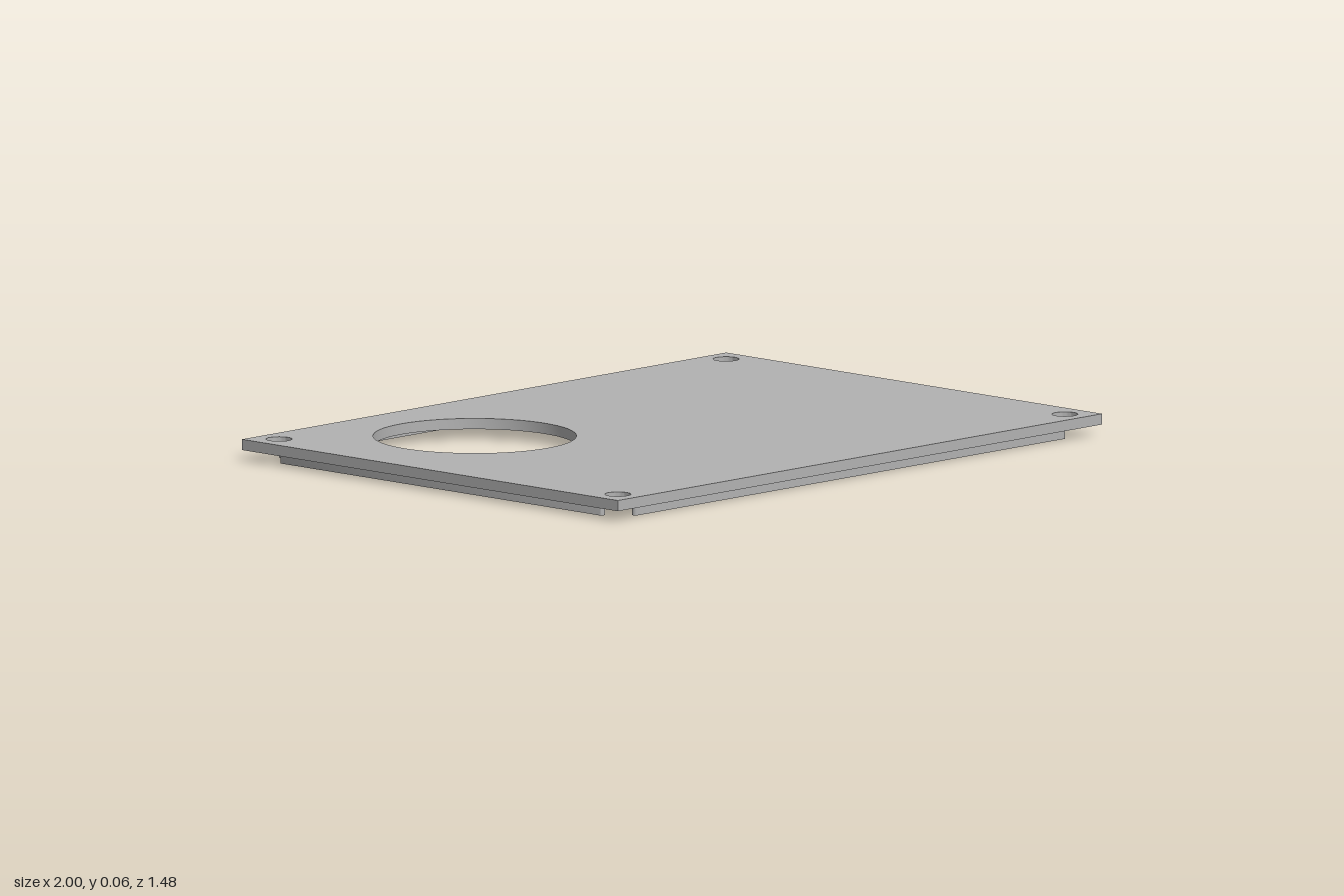
import * as THREE from 'three';
import { toCreasedNormals } from 'three/addons/utils/BufferGeometryUtils.js';

const W = 2, D = 1.48, BOTTOM = 0.031, TOP = 0.062, STEP = 0.046;
const SCREW = { x: 0.923, z: 0.667, head: 0.037, shaft: 0.021 };
const PORT = { x: -0.5, z: -0.3, r: 0.29 };
const corners = [[1, 1], [1, -1], [-1, 1], [-1, -1]];

export function createModel() {
  const model = new THREE.Group();
  model.name = 'coverPlate';
  const grey = new THREE.MeshStandardMaterial({ color: 0xb2b2b2 });
  grey.name = 'plain grey';

  const add = (name, geometry, x = 0, y = 0, z = 0) => {
    const mesh = new THREE.Mesh(geometry, grey);
    mesh.name = name;
    mesh.position.set(x, y, z);
    model.add(mesh);
    return mesh;
  };

  // Flat rectangular face pierced by the port and the four screw holes
  const face = (screwRadius, facing) => {
    const s = new THREE.Shape();
    s.moveTo(-W / 2, -D / 2).lineTo(W / 2, -D / 2).lineTo(W / 2, D / 2).lineTo(-W / 2, D / 2).closePath();
    const hole = (x, y, r) => s.holes.push(new THREE.Path().absarc(x, y, r, 0, Math.PI * 2, true));
    hole(PORT.x, -facing * PORT.z, PORT.r);
    for (const [sx, sz] of corners) hole(sx * SCREW.x, sz * SCREW.z, screwRadius);
    return new THREE.ShapeGeometry(s, 32).rotateX(-facing * Math.PI / 2);
  };
  add('plateTop', face(SCREW.head, 1), 0, TOP);
  add('plateUnderside', face(SCREW.shaft, -1), 0, BOTTOM);

  // Outer edges of the plate
  const midY = (TOP + BOTTOM) / 2;
  for (let i = 0; i < 4; i++) {
    const a = i * Math.PI / 2, long = i % 2 === 0;
    const edge = add('plateEdge', new THREE.PlaneGeometry(long ? W : D, TOP - BOTTOM),
      Math.sin(a) * W / 2, midY, Math.cos(a) * D / 2);
    edge.rotation.y = a;
  }

  // Inward-facing bores, profiles running from top to bottom
  const bore = (points) => toCreasedNormals(
    new THREE.LatheGeometry(points.map(([r, y]) => new THREE.Vector2(r, y)), 64), 0.6);
  add('portWall', bore([[PORT.r, TOP], [PORT.r, BOTTOM]]), PORT.x, 0, PORT.z);
  const screwBore = bore([[SCREW.head, TOP], [SCREW.head, STEP], [SCREW.shaft, STEP], [SCREW.shaft, BOTTOM]]);
  for (const [sx, sz] of corners) add('screwHole', screwBore, sx * SCREW.x, 0, sz * SCREW.z);

  // Round-ended locating ribs under the plate
  const rib = (length, width) => {
    const r = width / 2, h = length / 2 - r;
    const s = new THREE.Shape();
    s.moveTo(-h, -r).lineTo(h, -r);
    s.absarc(h, 0, r, -Math.PI / 2, Math.PI / 2, false);
    s.lineTo(-h, r);
    s.absarc(-h, 0, r, Math.PI / 2, Math.PI * 1.5, false);
    const g = new THREE.ExtrudeGeometry(s, { depth: BOTTOM, bevelEnabled: false, curveSegments: 8 });
    return toCreasedNormals(g.rotateX(-Math.PI / 2), 0.6);
  };
  const longRib = rib(1.78, 0.02), shortRib = rib(1.27, 0.02);
  for (const side of [1, -1]) {
    add('longRib', longRib, 0, 0, side * 0.695);
    add('shortRib', shortRib, side * 0.947, 0, 0).rotation.y = Math.PI / 2;
  }

  return model;
}
